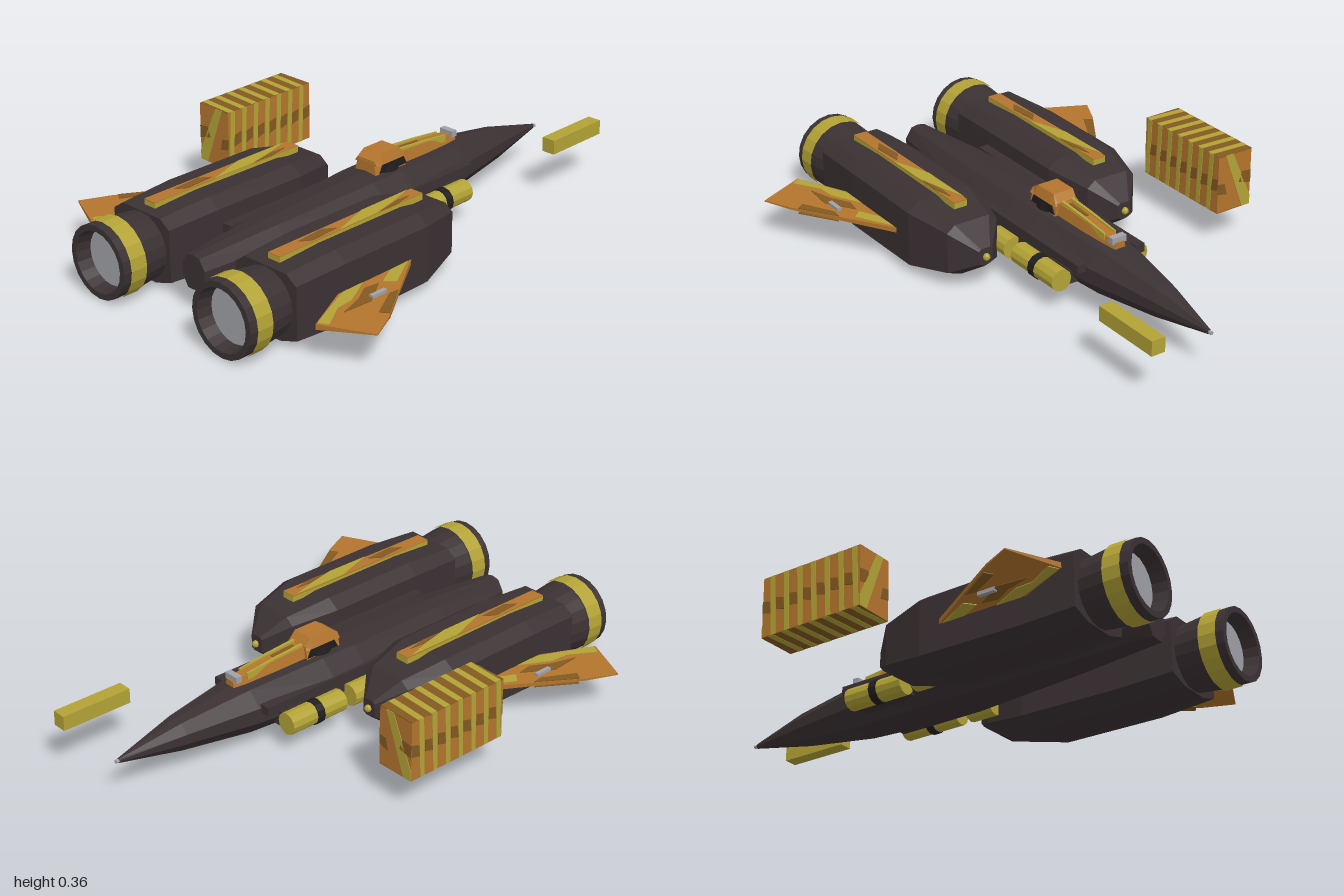
import * as THREE from 'three';

const mat = (name, color, side = THREE.FrontSide) => {
  const m = new THREE.MeshStandardMaterial({ color, side });
  m.name = name;
  return m;
};

export function createModel() {
  const model = new THREE.Group();
  model.name = 'starfighter';
  const hull = mat('dark hull', 0x3b3133, THREE.DoubleSide);
  const black = mat('black', 0x211d1e);
  const olive = mat('olive yellow', 0xb3a336);
  const orange = mat('orange', 0xb4752d);
  const brown = mat('brown', 0x835921);
  const grey = mat('grey', 0xa0a2a8);

  const add = (name, geo, material, parent = model) => {
    const g = geo.index ? geo.toNonIndexed() : geo;
    g.computeVertexNormals(); // faceted look
    const mesh = new THREE.Mesh(g, material);
    mesh.name = name;
    parent.add(mesh);
    return mesh;
  };
  // Box given by its ranges
  const box = (x0, x1, y0, y1, z0, z1) =>
    new THREE.BoxGeometry(x1 - x0, y1 - y0, z1 - z0)
      .translate((x0 + x1) / 2, (y0 + y1) / 2, (z0 + z1) / 2);
  // Cylinder along x
  const rod = (x0, x1, y, z, r, n = 12) =>
    new THREE.CylinderGeometry(r, r, x1 - x0, n).rotateZ(-Math.PI / 2)
      .translate((x0 + x1) / 2, y, z);
  // Outline in x,z with its top at y
  const plate = (pts, y, h) =>
    new THREE.ExtrudeGeometry(new THREE.Shape(pts.map(p => new THREE.Vector2(...p))),
      { depth: h, bevelEnabled: false }).rotateX(Math.PI / 2).translate(0, y, 0);
  // Outline in x,y, starting at z
  const sidePlate = (pts, z) =>
    new THREE.ExtrudeGeometry(new THREE.Shape(pts.map(p => new THREE.Vector2(...p))),
      { depth: 0.004, bevelEnabled: false }).translate(0, 0, z);
  // Loft along x; sections are [x, half width, bottom, top], profile is unit [z, y]
  const loft = (profile, sections, zc = 0) => {
    const n = profile.length, pos = [];
    const rings = sections.map(([x, w, b, t]) => profile.map(([z, y]) =>
      [x, (b + t) / 2 + y * (t - b) / 2, zc + z * w]));
    const mid = ([x, , b, t]) => [x, (b + t) / 2, zc];
    const last = rings.length - 1;
    for (let j = 0; j < n; j++) {
      const k = (j + 1) % n;
      for (let i = 0; i < last; i++) {
        const a = rings[i][j], b = rings[i][k], c = rings[i + 1][k], d = rings[i + 1][j];
        pos.push(...a, ...b, ...c, ...a, ...c, ...d);
      }
      pos.push(...mid(sections[0]), ...rings[0][k], ...rings[0][j]);
      pos.push(...mid(sections[last]), ...rings[last][j], ...rings[last][k]);
    }
    const g = new THREE.BufferGeometry();
    g.setAttribute('position', new THREE.Float32BufferAttribute(pos, 3));
    return g;
  };
  const octagon = [[-1, -0.35], [-1, 0.3], [-0.55, 0.9], [0, 1], [0.55, 0.9], [1, 0.3], [1, -0.35], [0.55, -1], [-0.55, -1]];
  const podShape = [[-1, -0.8], [-1, 0], [-1, 0.75], [-0.68, 1], [0.68, 1], [1, 0.75], [1, 0], [1, -0.8], [0.45, -1], [-0.45, -1]];
  const trapezoid = [[-1, -1], [-0.75, 1], [0.75, 1], [1, -1]];

  // Central fuselage
  add('fuselage', loft(octagon, [
    [-0.84, 0.055, 0.09, 0.22], [-0.5, 0.1, 0.075, 0.24], [-0.05, 0.143, 0.06, 0.258],
    [0.1, 0.145, 0.06, 0.26], [0.42, 0.11, 0.068, 0.247], [0.7, 0.06, 0.098, 0.212],
    [0.945, 0.006, 0.138, 0.155]]), hull);
  add('noseTip', rod(0.93, 0.957, 0.146, 0, 0.007, 8), grey);

  // Everything mirrored on both sides
  for (const s of [1, -1]) {
    const side = new THREE.Group();
    side.name = s > 0 ? 'leftSide' : 'rightSide';
    model.add(side);
    const zc = s * 0.305;
    const flip = pts => pts.map(([x, z]) => [x, z * s]);

    add('enginePod', loft(podShape, [
      [-0.8, 0.142, 0.018, 0.272], [-0.58, 0.152, 0.004, 0.284], [-0.18, 0.152, 0.01, 0.28],
      [0, 0.105, 0.05, 0.25], [0.085, 0.028, 0.11, 0.175]], zc), hull, side);
    add('podTip', new THREE.SphereGeometry(0.014, 8, 6).translate(0.09, 0.142, zc), olive, side);

    // Exhaust shell, ring and glow disc
    const nozzle = [[0.122, -0.79], [0.135, -0.9], [0.137, -1], [0.115, -1], [0.1, -0.92]]
      .map(p => new THREE.Vector2(...p));
    add('exhaust', new THREE.LatheGeometry(nozzle, 20).rotateZ(-Math.PI / 2)
      .translate(0, 0.145, zc), hull, side);
    add('exhaustRing', new THREE.CylinderGeometry(0.141, 0.141, 0.068, 20, 1, true)
      .rotateZ(-Math.PI / 2).translate(-0.936, 0.145, zc), olive, side);
    add('exhaustDisc', rod(-0.945, -0.93, 0.145, zc, 0.105, 20), grey, side);

    // Camouflaged spine on the pod
    add('podSpine', box(-0.76, -0.07, 0.27, 0.294, zc - 0.027, zc + 0.027), olive, side);
    const spine = (name, m, pts, y) =>
      add(name, plate(pts.map(([x, z]) => [x, zc + z]), y, 0.004), m, side);
    spine('spineTop', orange, [[-0.76, -0.027], [-0.07, -0.027], [-0.07, 0.027], [-0.76, 0.027]], 0.296);
    spine('spinePatch', olive, [[-0.48, 0.027], [-0.32, -0.027], [-0.09, -0.027], [-0.2, 0.005], [-0.3, 0.027]], 0.2985);
    spine('spinePatch', brown, [[-0.64, -0.01], [-0.52, -0.02], [-0.48, 0.01], [-0.6, 0.018]], 0.2985);
    spine('spinePatch', brown, [[-0.28, 0.024], [-0.18, 0.005], [-0.12, 0.01], [-0.2, 0.027]], 0.2985);

    // Swept wing, thinning towards the tip
    const wing = plate(flip([[-0.17, 0.4], [-0.26, 0.455], [-0.62, 0.685], [-0.73, 0.738], [-0.818, 0.55], [-0.5, 0.4]]), 0.152, 0.02);
    const p = wing.attributes.position;
    for (let i = 0; i < p.count; i++) {
      const t = Math.max(0, (Math.abs(p.getZ(i)) - 0.55) / 0.19);
      p.setY(i, THREE.MathUtils.lerp(p.getY(i), 0.15, t * 0.8));
    }
    add('wing', wing, orange, side);
    const wingPatches = [
      [olive, [[-0.81, 0.55], [-0.6, 0.458], [-0.5, 0.458], [-0.62, 0.52], [-0.69, 0.525], [-0.79, 0.585]]],
      [brown, [[-0.7, 0.56], [-0.6, 0.53], [-0.53, 0.49], [-0.47, 0.5], [-0.58, 0.57]]],
      [olive, [[-0.45, 0.5], [-0.37, 0.46], [-0.28, 0.458], [-0.42, 0.535]]],
      [brown, [[-0.62, 0.64], [-0.5, 0.575], [-0.46, 0.58], [-0.6, 0.67]]],
    ];
    for (const [m, pts] of wingPatches) {
      add('wingPatchTop', plate(flip(pts), 0.154, 0.003), m, side);
      add('wingPatchBottom', plate(flip(pts), 0.1335, 0.003), m, side);
    }
    add('wingFitting', box(-0.565, -0.497, 0.125, 0.163, s * 0.555 - 0.008, s * 0.555 + 0.008), grey, side);

    // Side rails and canisters
    add('sideRail', box(-0.57, 0.41, 0.165, 0.198, s * 0.125 - 0.02, s * 0.125 + 0.02), hull, side);
    add('rearCanister', rod(-0.055, 0.055, 0.12, s * 0.167, 0.042), olive, side);
    add('frontCanister', rod(0.098, 0.347, 0.12, s * 0.167, 0.042), olive, side);
    add('canisterBand', rod(0.205, 0.236, 0.12, s * 0.167, 0.046), black, side);
    add('canisterMount', box(0.1, 0.34, 0.09, 0.15, s * 0.115 - 0.02, s * 0.115 + 0.02), hull, side);
  }

  // Dorsal cabin
  const cabin = new THREE.Group();
  cabin.name = 'cabin';
  model.add(cabin);
  add('cabinRing', new THREE.CylinderGeometry(0.062, 0.068, 0.04, 16).translate(0.075, 0.262, 0), black, cabin);
  add('cabinBase', loft(trapezoid, [[-0.005, 0.052, 0.245, 0.298], [0.15, 0.056, 0.245, 0.298]]), orange, cabin);
  add('cabinRoof', loft(trapezoid, [[-0.003, 0.054, 0.286, 0.304], [0.03, 0.056, 0.286, 0.325], [0.125, 0.056, 0.286, 0.325], [0.15, 0.05, 0.286, 0.296]]), orange, cabin);
  for (const s of [1, -1])
    add('cabinWindow', sidePlate([[0.01, 0.258], [0.15, 0.258], [0.135, 0.288], [0.025, 0.288]], s * 0.056 - 0.002), black, cabin);
  add('cabinNose', loft(trapezoid, [[0.14, 0.045, 0.24, 0.297], [0.28, 0.038, 0.24, 0.288], [0.46, 0.022, 0.245, 0.268]]), orange, cabin);
  for (const s of [1, -1])
    add('noseStripe', loft(trapezoid, [[0.15, 0.008, 0.27, 0.304], [0.28, 0.007, 0.27, 0.294], [0.4, 0.005, 0.255, 0.281]], s * 0.021), olive, cabin);
  add('nosePatch', loft(trapezoid, [[0.17, 0.009, 0.28, 0.298], [0.27, 0.008, 0.27, 0.292]]), brown, cabin);
  add('noseSensor', box(0.43, 0.455, 0.262, 0.286, -0.03, 0.03), grey, cabin);

  // Detached striped crate
  const crate = new THREE.Group();
  crate.name = 'stripedCrate';
  model.add(crate);
  const [x0, x1, y0, y1, z0, z1] = [-0.138, 0.288, 0.132, 0.358, -0.728, -0.576];
  add('crateBody', box(x0, x1, y0, y1, z0, z1), orange, crate);
  add('crateLid', box(x0, x1, y1 - 0.002, y1 + 0.001, z0, z1), brown, crate);
  add('crateFloor', box(x0, x1, y0 - 0.001, y0 + 0.002, z0, z1), brown, crate);
  for (let i = 0; i < 7; i++) {
    const x = x0 + 0.004 + i * 0.06;
    const slant = [[x, z1], [x + 0.025, z1], [x + 0.035, z0], [x + 0.01, z0]];
    add('crateStripe', plate(slant, y1 + 0.002, 0.002), olive, crate);
    add('crateStripe', plate(slant, y0, 0.002), olive, crate);
    for (const z of [z1 - 0.002, z0 - 0.002]) {
      add('crateStripe', sidePlate([[x, y0], [x + 0.02, y0], [x + 0.032, y1], [x + 0.01, y1]], z), olive, crate);
      add('cratePatch', sidePlate([[x + 0.024, 0.215], [x + 0.06, 0.225], [x + 0.062, 0.27], [x + 0.03, 0.262]], z), brown, crate);
    }
  }
  // Diagonal stripe and patches on the crate ends
  const zm = (z0 + z1) / 2;
  for (const x of [x0 - 0.002, x1 - 0.002]) {
    const end = pts => sidePlate(pts, 0).rotateY(-Math.PI / 2).translate(x + 0.004, 0, zm);
    add('crateEndStripe', end([[0.076, y0], [0.04, y0], [-0.045, y1], [-0.01, y1], [0.076, 0.17]]
      .map(([a, b]) => [-a, b])), olive, crate);
    add('crateEndPatch', end([[-0.076, 0.22], [-0.02, 0.235], [-0.035, 0.275], [-0.076, 0.27]]), brown, crate);
    add('crateEndPatch', end([[0.035, 0.2], [0.076, 0.21], [0.076, 0.25], [0.045, 0.245]]), brown, crate);
  }

  // Detached bar
  add('floatingBar', box(0.72, 1, 0.178, 0.234, 0.23, 0.285), olive);
  return model;
}
